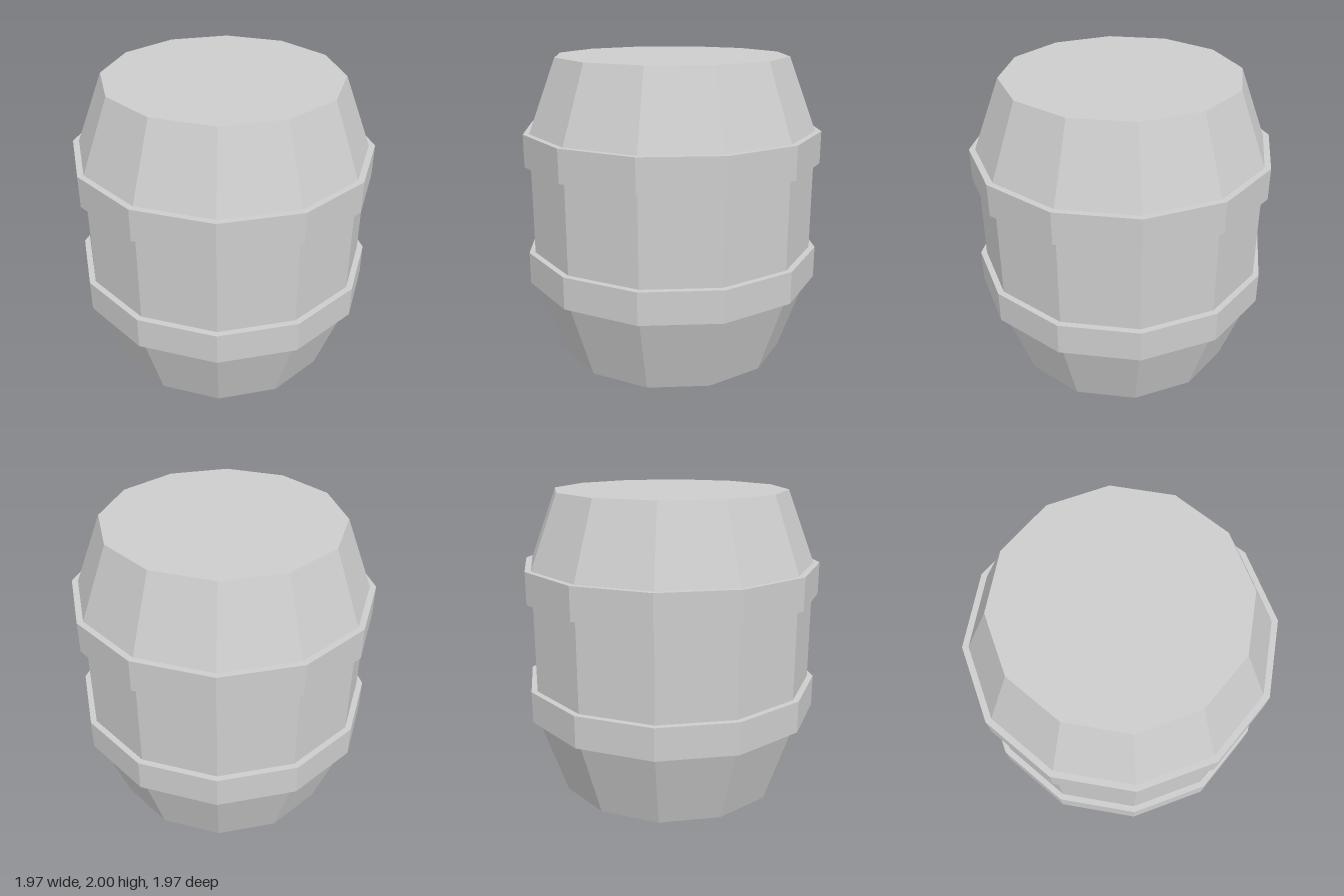
import * as THREE from 'three';

const SIDES = 12;

// Faceted solid of revolution; the profile runs from bottom to top as [radius, y]
function turned(name, profile, material) {
  const points = profile.map(([r, y]) => new THREE.Vector2(r, y));
  const geometry = new THREE.LatheGeometry(points, SIDES).toNonIndexed();
  geometry.computeVertexNormals();
  const mesh = new THREE.Mesh(geometry, material);
  mesh.name = name;
  return mesh;
}

export function createModel() {
  const model = new THREE.Group();
  model.name = 'barrel';

  const grey = new THREE.MeshStandardMaterial({ color: 0xcccccc, flatShading: true });
  grey.name = 'light grey';

  const endRadius = 0.765, bellyRadius = 0.945, hoopRadius = 0.985;

  // Body with tapered ends, straight belly and flat lids
  model.add(turned('body', [
    [0, 0], [endRadius, 0], [bellyRadius, 0.53],
    [bellyRadius, 1.53], [endRadius, 2], [0, 2],
  ], grey));

  // Hoops around both ends of the belly
  const hoops = [['lowerHoop', 0.53, 0.74], ['upperHoop', 1.32, 1.53]];
  for (const [name, bottom, top] of hoops) {
    model.add(turned(name, [
      [bellyRadius, bottom], [hoopRadius, bottom],
      [hoopRadius, top], [bellyRadius, top],
    ], grey));
  }

  return model;
}
